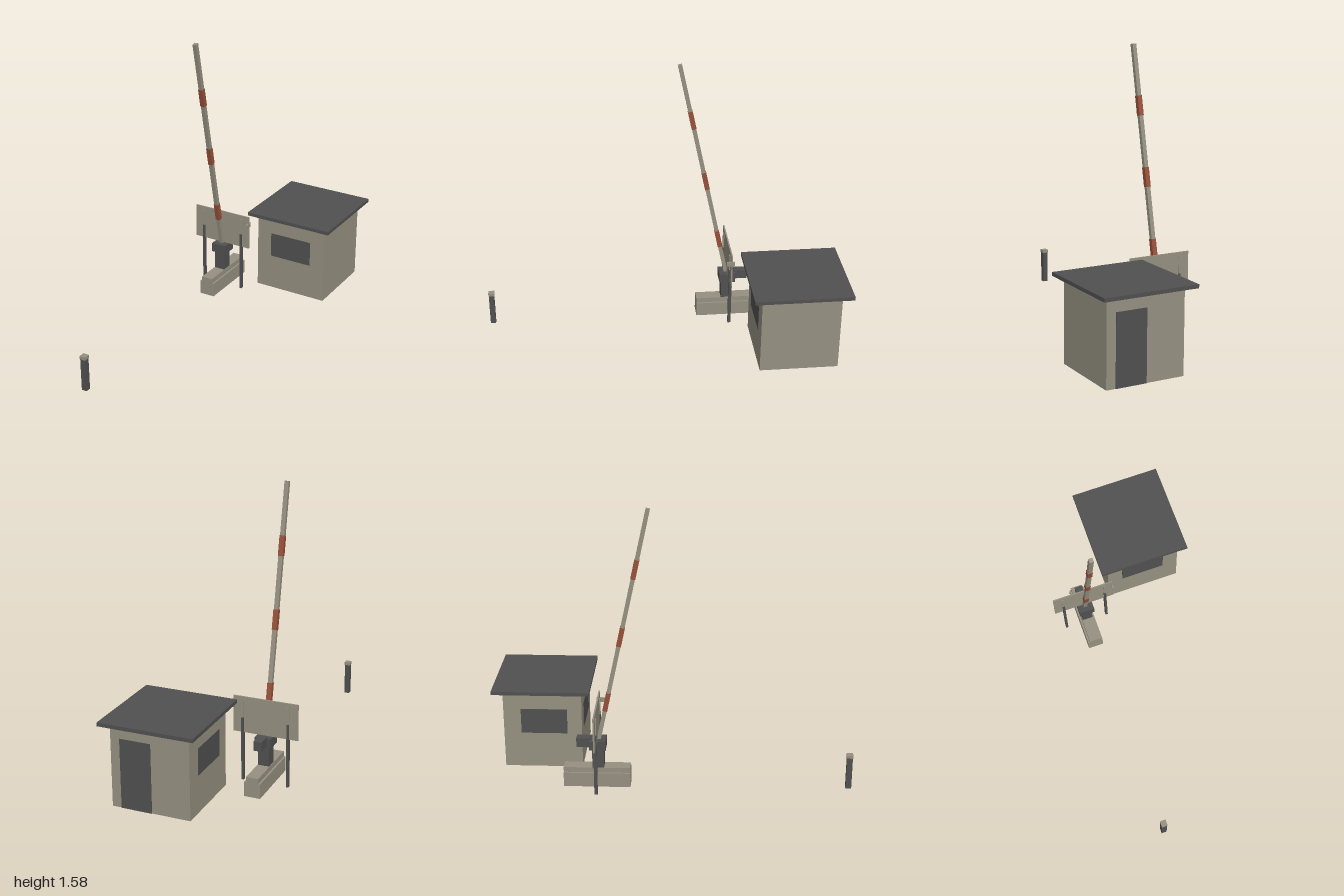
import * as THREE from 'three';

const mat = (name, color) => {
  const m = new THREE.MeshStandardMaterial({ color });
  m.name = name;
  return m;
};

export function createModel() {
  const model = new THREE.Group();
  model.name = 'checkpoint';
  const beige = mat('beige', 0x959080);
  const dark = mat('darkGrey', 0x505050);
  const red = mat('rustRed', 0x96503a);

  const group = (name) => {
    const g = new THREE.Group();
    g.name = name;
    model.add(g);
    return g;
  };
  // Box given by its limits on each axis
  const box = (parent, name, material, [x0, x1], [y0, y1], [z0, z1]) => {
    const mesh = new THREE.Mesh(new THREE.BoxGeometry(x1 - x0, y1 - y0, z1 - z0), material);
    mesh.position.set((x0 + x1) / 2, (y0 + y1) / 2, (z0 + z1) / 2);
    mesh.name = name;
    parent.add(mesh);
    return mesh;
  };

  // Guard booth with overhanging flat roof, two windows and a back door
  const booth = group('booth');
  box(booth, 'walls', beige, [-0.06, 0.38], [0, 0.46], [-0.943, -0.503]);
  box(booth, 'roof', dark, [-0.106, 0.423], [0.46, 0.48], [-1, -0.455]);
  box(booth, 'frontWindow', dark, [0.03, 0.288], [0.21, 0.357], [-0.505, -0.5]);
  box(booth, 'sideWindow', dark, [-0.063, -0.058], [0.21, 0.357], [-0.845, -0.585]);
  box(booth, 'door', dark, [0.155, 0.328], [0, 0.385], [-0.946, -0.941]);

  // Barrier stand: stepped plinth, pillar, head and drive housing
  const cx = -0.245;
  const stand = group('barrierStand');
  box(stand, 'plinth', beige, [cx - 0.045, cx + 0.045], [0, 0.083], [-0.585, -0.217]);
  box(stand, 'plinthStep', beige, [cx - 0.034, cx + 0.034], [0.083, 0.112], [-0.585, -0.217]);
  box(stand, 'pillar', dark, [cx - 0.031, cx + 0.031], [0.112, 0.224], [-0.426, -0.362]);
  box(stand, 'head', dark, [cx - 0.045, cx + 0.045], [0.222, 0.276], [-0.442, -0.35]);
  box(stand, 'driveHousing', dark, [cx - 0.023, cx + 0.023], [0.232, 0.284], [-0.512, -0.435]);

  // Raised boom with red bands, leaning forward
  const lean = 0.209;
  const boom = group('boom');
  boom.position.set(cx, 0.25, -0.395);
  boom.rotation.x = lean;
  const along = (y) => (y - 0.25) / Math.cos(lean);
  box(boom, 'pole', beige, [-0.0115, 0.0115], [0, along(1.582)], [-0.0115, 0.0115]);
  for (const y of [0.445, 0.825, 1.203]) {
    box(boom, 'redBand', red, [-0.0135, 0.0135], [along(y), along(y + 0.105)], [-0.0135, 0.0135]);
  }

  // Sign board on two posts, with a small bracket on its edge
  const sign = group('signBoard');
  box(sign, 'board', beige, [-0.428, -0.064], [0.276, 0.478], [-0.404, -0.396]);
  for (const x of [-0.372, -0.116]) {
    box(sign, 'signPost', dark, [x - 0.007, x + 0.007], [0, 0.36], [-0.408, -0.39]);
    box(sign, 'signPostTop', beige, [x - 0.007, x + 0.007], [0.36, 0.456], [-0.408, -0.39]);
  }
  box(sign, 'edgeBracket', beige, [-0.073, -0.063], [0.414, 0.438], [-0.416, -0.37]);

  // Boom rest post at the far end
  const rest = group('boomRest');
  box(rest, 'restPost', dark, [cx - 0.015, cx + 0.015], [0, 0.186], [0.967, 0.998]);
  box(rest, 'restCap', beige, [cx - 0.017, cx + 0.017], [0.186, 0.204], [0.965, 1]);

  return model;
}
